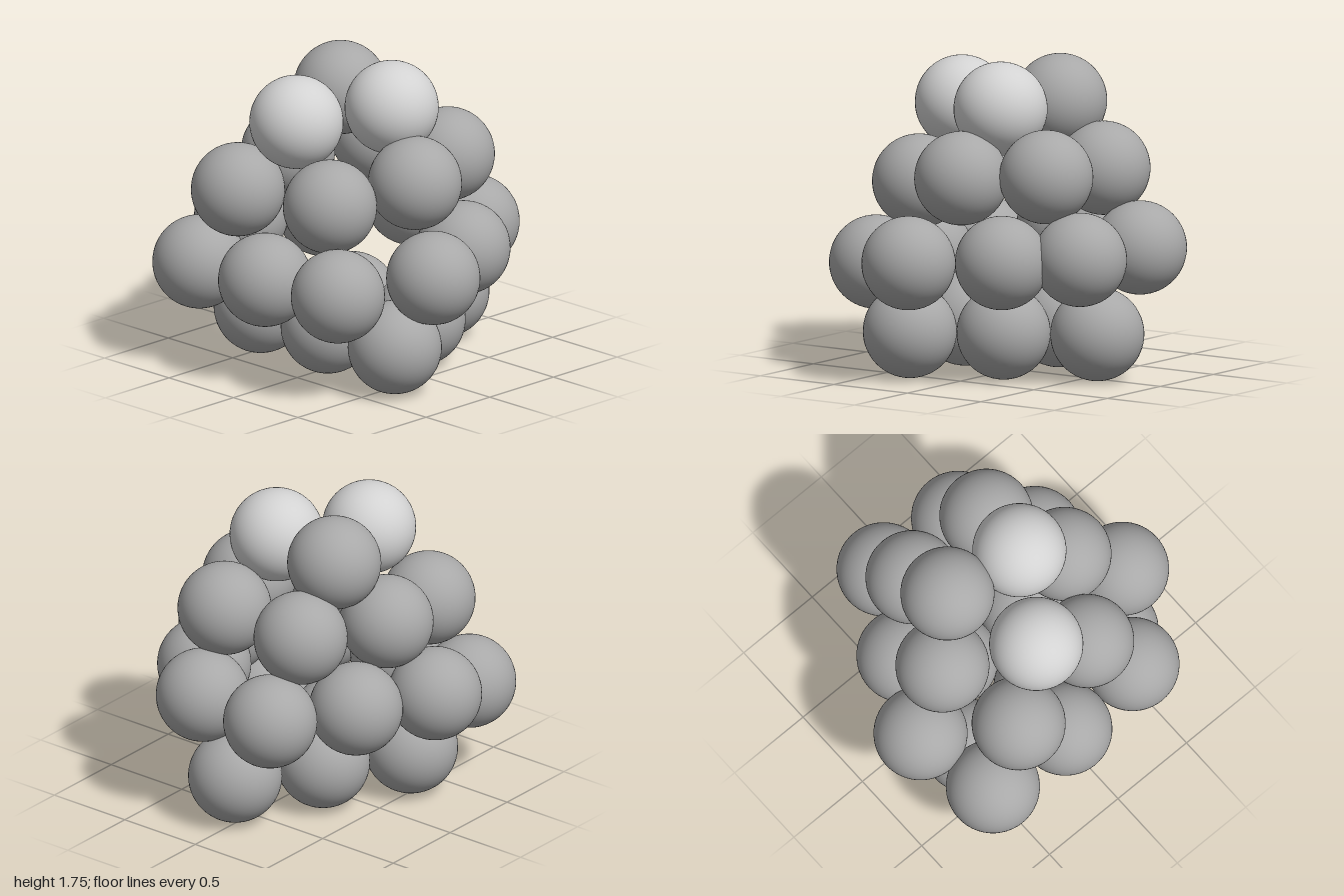
import * as THREE from 'three';

const RADIUS = 0.26;

export function createModel() {
  const model = new THREE.Group();
  model.name = 'sphereCluster';

  const grey = new THREE.MeshStandardMaterial({ color: 0xa8a8a8 });
  grey.name = 'grey';
  const paleGrey = new THREE.MeshStandardMaterial({ color: 0xd2d2d2 });
  paleGrey.name = 'paleGrey';

  const ball = new THREE.SphereGeometry(RADIUS, 48, 32);

  function addLayer(name, centres, material) {
    const layer = new THREE.Group();
    layer.name = name;
    centres.forEach(([x, y, z], i) => {
      const mesh = new THREE.Mesh(ball, material);
      mesh.name = `${name}Ball${i + 1}`;
      mesh.position.set(x, y, z);
      layer.add(mesh);
    });
    model.add(layer);
  }

  // Base: a close-packed triangle, rows of three, two and one
  const base = [];
  for (let row = 0; row < 3; row++) {
    for (let i = 0; i < 3 - row; i++) {
      base.push([-0.48 + 0.52 * (i + row / 2), RADIUS, 0.30 - 0.45 * row]);
    }
  }
  addLayer('base', base, grey);

  // Wide hollow ring resting on the base
  addLayer('wideRing', [
    [-0.61, 0.57, 0.65], [-0.09, 0.585, 0.66], [0.435, 0.60, 0.62],
    [0.74, 0.675, 0.18], [0.51, 0.69, -0.29], [0.245, 0.705, -0.63],
    [-0.265, 0.71, -0.67], [-0.51, 0.695, -0.22], [-0.74, 0.705, 0.19],
  ], grey);

  // Narrower ring above it
  addLayer('upperRing', [
    [-0.37, 1.03, 0.59], [0.23, 1.04, 0.475], [0.45, 1.125, 0.03],
    [0.265, 1.15, -0.415], [-0.275, 1.13, -0.415], [-0.485, 1.11, 0.08],
  ], grey);

  // Three balls on top, two of them paler
  addLayer('crown', [[-0.275, 1.48, -0.12]], grey);
  addLayer('paleCrown', [[-0.09, 1.445, 0.415], [0.19, 1.487, -0.05]], paleGrey);

  return model;
}
